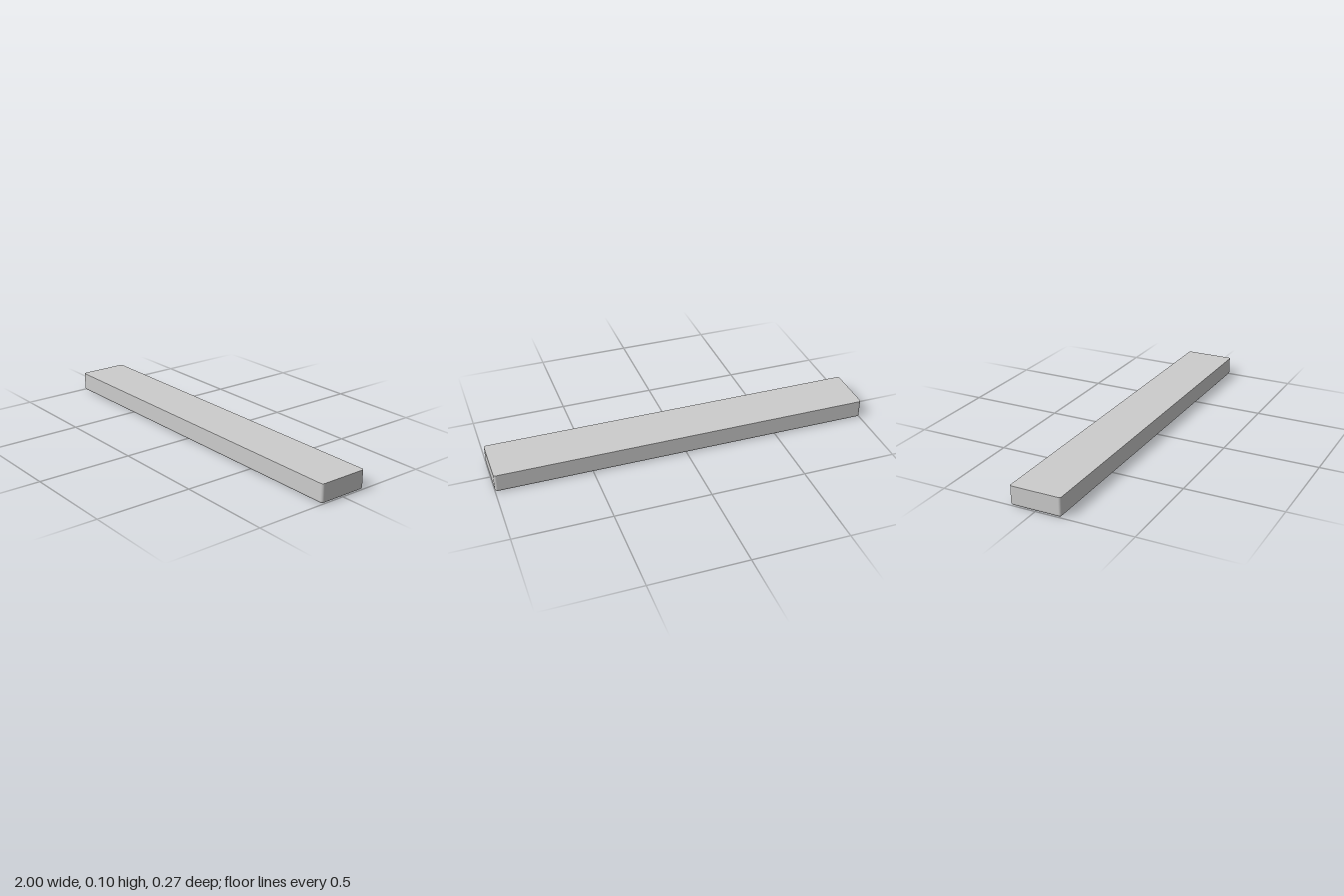
import * as THREE from 'three';

const HALF_X = 1, HALF_Z = 0.133, HEIGHT = 0.1;
const CORNER = 0.013, FILLET = 0.014, RIM = 0.026, RECESS = 0.023;
const ARC = 8;

// Rounded-rectangle ring: points with their outward directions
function ring(inset) {
  const r = Math.max(CORNER - inset, 0.001);
  const cx = HALF_X - inset - r, cz = HALF_Z - inset - r;
  const points = [];
  for (let q = 0; q < 4; q++) {
    const sx = q === 0 || q === 3 ? 1 : -1, sz = q < 2 ? 1 : -1;
    for (let i = 0; i <= ARC; i++) {
      const a = (q + i / ARC) * Math.PI / 2, c = Math.cos(a), s = Math.sin(a);
      points.push({ x: sx * cx + r * c, z: sz * cz + r * s, c, s });
    }
  }
  return points;
}

// Skin a profile of [inset, y, outward normal, upward normal, scale]
function skin(name, profile, material) {
  const position = [], normal = [], index = [];
  const n = 4 * (ARC + 1);
  profile.forEach(([inset, y, out, up, scale = 1], k) => {
    ring(inset).forEach((p, i) => {
      position.push(p.x * scale, y, p.z * scale);
      normal.push(p.c * out, up, p.s * out);
      if (k === profile.length - 1) return;
      const a = k * n + i, b = k * n + (i + 1) % n;
      index.push(a, b, a + n, b, b + n, a + n);
    });
  });
  const geometry = new THREE.BufferGeometry();
  geometry.setAttribute('position', new THREE.Float32BufferAttribute(position, 3));
  geometry.setAttribute('normal', new THREE.Float32BufferAttribute(normal, 3));
  geometry.setIndex(index);
  const mesh = new THREE.Mesh(geometry, material);
  mesh.name = name;
  return mesh;
}

export function createModel() {
  const material = new THREE.MeshStandardMaterial({ color: 0xcccccc });
  const group = new THREE.Group();
  group.name = 'shelfBoard';

  // Upright sides running into the rounded lower edge and the flat rim
  const sides = [[0, HEIGHT, 1, 0]];
  for (let i = 0; i <= 8; i++) {
    const a = i / 8 * Math.PI / 2;
    sides.push([FILLET * (1 - Math.cos(a)), FILLET * (1 - Math.sin(a)), Math.cos(a), -Math.sin(a)]);
  }
  sides.push([RIM, 0, 0, -1]);

  group.add(
    skin('topSurface', [[0, HEIGHT, 0, 1, 0], [0, HEIGHT, 0, 1]], material),
    skin('sidesAndRim', sides, material),
    // Shallow recess in the underside
    skin('recessWall', [[RIM, 0, -1, 0], [RIM, RECESS, -1, 0]], material),
    skin('recessFloor', [[RIM, RECESS, 0, -1], [RIM, RECESS, 0, -1, 0]], material)
  );
  return group;
}
